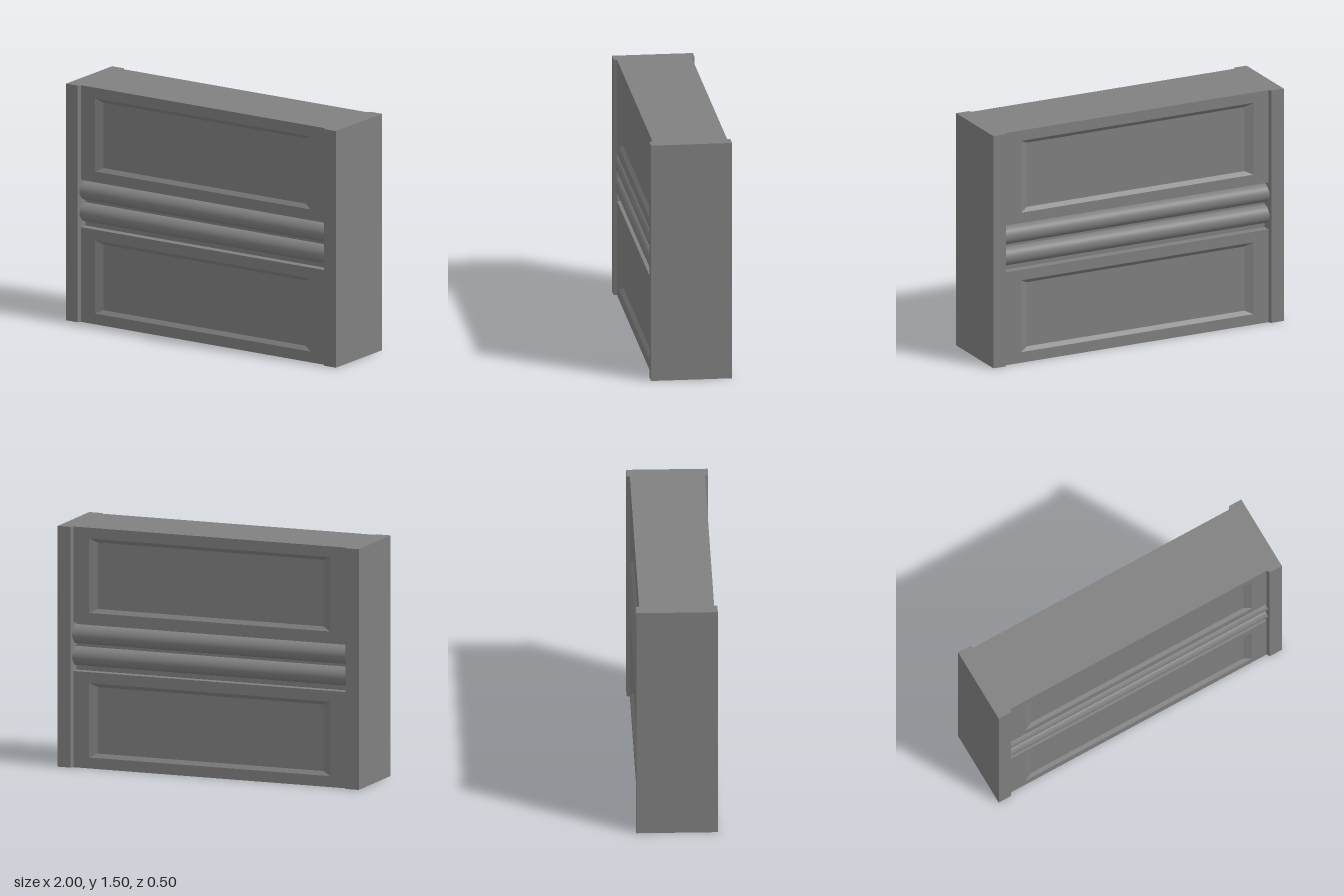
import * as THREE from 'three';

const material = new THREE.MeshStandardMaterial({ color: 0x808080 });
const HEIGHT = 1.5, CORE_Z = 0.18, FACE_Z = 0.23, INNER_X = 0.904;

function add(parent, name, geometry) {
  const mesh = new THREE.Mesh(geometry, material);
  mesh.name = name;
  parent.add(mesh);
}

// Corners of a rectangle, counter-clockwise from the lower left
const corners = (hx, y0, y1) => [[-hx, y0], [hx, y0], [hx, y1], [-hx, y1]];

// Flat panel with a rectangular opening
function frameGeometry(y0, y1, hole) {
  const toPoints = (list) => list.map(([x, y]) => new THREE.Vector2(x, y));
  const shape = new THREE.Shape(toPoints(corners(INNER_X, y0, y1)));
  shape.holes.push(new THREE.Path(toPoints(hole)));
  return new THREE.ExtrudeGeometry(shape, { depth: FACE_Z - CORE_Z, bevelEnabled: false })
    .translate(0, 0, CORE_Z);
}

// Sunken field: four sloping sides and a flat floor
function recessGeometry(outer, inner, depth) {
  const o = outer.map(([x, y]) => [x, y, FACE_Z]);
  const n = inner.map(([x, y]) => [x, y, FACE_Z - depth]);
  const pos = [];
  const quad = (a, b, c, d) => pos.push(...a, ...b, ...c, ...a, ...c, ...d);
  for (let i = 0; i < 4; i++) {
    const j = (i + 1) % 4;
    quad(o[i], o[j], n[j], n[i]);
  }
  quad(...n);
  const geometry = new THREE.BufferGeometry();
  geometry.setAttribute('position', new THREE.Float32BufferAttribute(pos, 3));
  geometry.computeVertexNormals();
  return geometry;
}

// One decorated face, pointing to +z
function createFace(name) {
  const face = new THREE.Group();
  face.name = name;

  // Lower and upper recessed panels
  for (const [label, y0, y1, base] of [['lower', 0, 0.6, 0.068], ['upper', 0.902, HEIGHT, 0.969]]) {
    const outer = corners(0.8, base, base + 0.464);
    const inner = corners(0.75, base + 0.025, base + 0.439);
    add(face, label + 'PanelFrame', frameGeometry(y0, y1, outer));
    add(face, label + 'PanelRecess', recessGeometry(outer, inner, 0.02));
  }

  // Pair of half-round mouldings in the groove between the panels
  for (const [label, y] of [['lower', 0.689], ['upper', 0.825]]) {
    const rod = new THREE.CylinderGeometry(0.059, 0.059, 1.824, 32, 1, true, -Math.PI / 2, Math.PI);
    add(face, label + 'Moulding', rod.rotateZ(Math.PI / 2).translate(0, y, CORE_Z));
  }
  return face;
}

// End post with chamfered inner edges, mirrored by side
function postGeometry(side) {
  const plan = [[1, -0.25], [1, 0.25], [0.914, 0.25], [INNER_X, FACE_Z],
    [INNER_X, -FACE_Z], [0.914, -0.25]];
  const shape = new THREE.Shape(plan.map(([x, z]) => new THREE.Vector2(side * x, z)));
  return new THREE.ExtrudeGeometry(shape, { depth: HEIGHT, bevelEnabled: false })
    .rotateX(-Math.PI / 2);
}

export function createModel() {
  const model = new THREE.Group();
  model.name = 'panelledWall';

  // Solid middle of the wall
  add(model, 'core', new THREE.BoxGeometry(INNER_X * 2, HEIGHT, CORE_Z * 2)
    .translate(0, HEIGHT / 2, 0));

  add(model, 'leftPost', postGeometry(1));
  add(model, 'rightPost', postGeometry(-1));

  // Identical front and back
  const back = createFace('backFace');
  back.rotation.y = Math.PI;
  model.add(createFace('frontFace'), back);
  return model;
}
